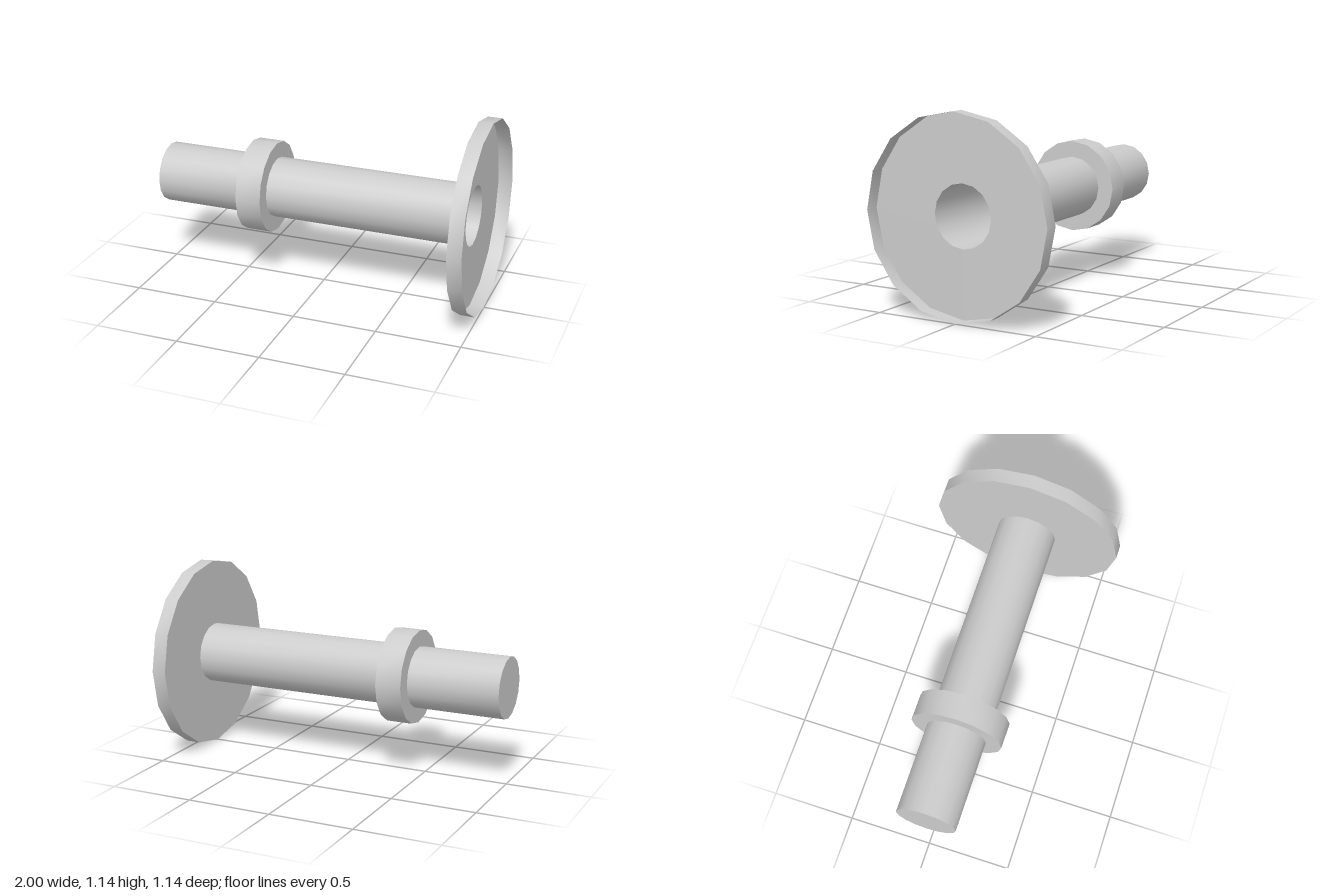
import * as THREE from 'three';
import { toCreasedNormals } from 'three/addons/utils/BufferGeometryUtils.js';

const SIDES = 16;
const SHAFT_R = 0.18, COLLAR_R = 0.276, FLANGE_R = 0.572;
const COLLAR_START = -0.452, COLLAR_END = -0.298, FLANGE_X = 0.915;

export function createModel() {
  const group = new THREE.Group();
  const material = new THREE.MeshStandardMaterial({ color: 0xcccccc, side: THREE.DoubleSide });

  // Turns a [radius, x] profile around the horizontal axis
  function turned(name, profile) {
    const points = profile.map(([r, x]) => new THREE.Vector2(r, x));
    const geometry = toCreasedNormals(new THREE.LatheGeometry(points, SIDES), Math.PI / 4);
    geometry.rotateZ(-Math.PI / 2);
    geometry.translate(0, FLANGE_R, 0);
    const mesh = new THREE.Mesh(geometry, material);
    mesh.name = name;
    group.add(mesh);
  }

  // The parts join into one thin hollow shell
  // Short end of the shaft, closed by a flat cap
  turned('shaftEnd', [[0, -1], [SHAFT_R, -1], [SHAFT_R, COLLAR_START]]);

  // Raised ring
  turned('collar', [
    [SHAFT_R, COLLAR_START], [COLLAR_R, COLLAR_START],
    [COLLAR_R, COLLAR_END], [SHAFT_R, COLLAR_END],
  ]);

  // Long shaft, open where it meets the flange
  turned('shaft', [[SHAFT_R, COLLAR_END], [SHAFT_R, FLANGE_X]]);

  // Shallow dish: back plate with the bore and an open rim
  turned('flange', [[SHAFT_R, FLANGE_X], [FLANGE_R, FLANGE_X], [FLANGE_R, 1]]);

  return group;
}
